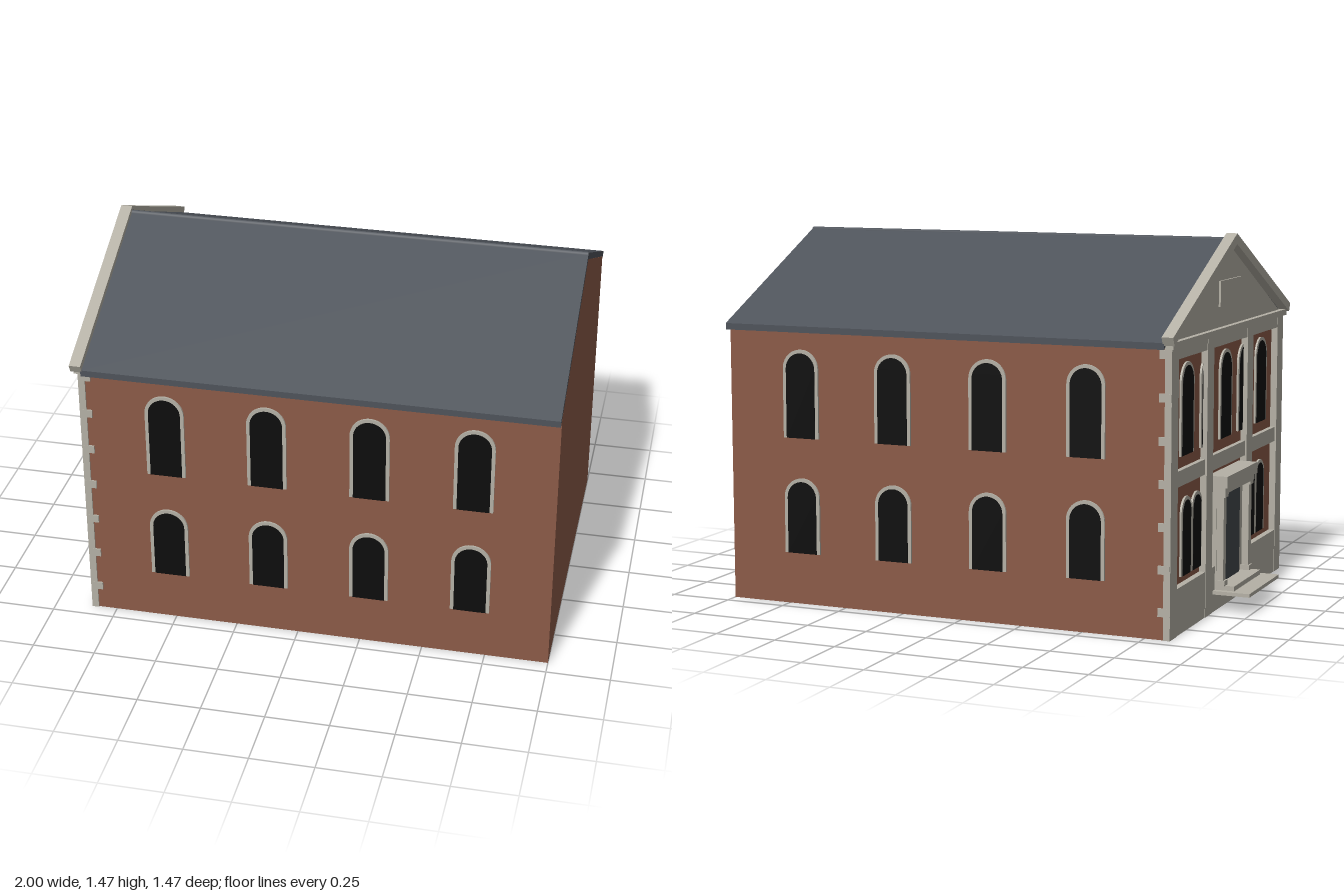
import * as THREE from 'three';

const mat = (name, color) => {
  const m = new THREE.MeshStandardMaterial({ color });
  m.name = name;
  return m;
};

export function createModel() {
  const brick = mat('brick', 0x8b5a47);
  const stone = mat('stone', 0xb4b0a5);
  const slate = mat('slate', 0x4e535a);
  const glass = mat('dark glass', 0x0d0d0d);
  const doorPaint = mat('door paint', 0x41474c);

  const model = new THREE.Group();
  model.name = 'hall';
  const add = (name, geometry, material, parent = model) => {
    const mesh = new THREE.Mesh(geometry, material);
    mesh.name = name;
    parent.add(mesh);
    return mesh;
  };
  // Box given by its minimum and maximum on each axis
  const box = (name, x0, x1, y0, y1, z0, z1, material = stone) =>
    add(name, new THREE.BoxGeometry(x1 - x0, y1 - y0, z1 - z0), material)
      .position.set((x0 + x1) / 2, (y0 + y1) / 2, (z0 + z1) / 2);
  // Outline drawn in (z, y) and extruded along x from x0 to x1
  const slab = (name, points, x0, x1, material) => {
    const shape = new THREE.Shape(points.map(([z, y]) => new THREE.Vector2(-z, y)));
    const g = new THREE.ExtrudeGeometry(shape, { depth: x1 - x0, bevelEnabled: false });
    g.rotateY(Math.PI / 2).translate(x0, 0, 0);
    return add(name, g, material);
  };
  const mirrored = (half) => [...half, ...half.slice().reverse()
    .filter(([z]) => z !== 0).map(([z, y]) => [-z, y])];

  // Brick body with gables
  slab('brickBody', [[-0.69, 0], [0.69, 0], [0.69, 1.1], [0, 1.42], [-0.69, 1.1]], -0.825, 1, brick);

  // Roof: folded slab and ridge roll
  slab('roof', [[-0.725, 1.085], [0, 1.42], [0.725, 1.085], [0.725, 1.11], [0, 1.447], [-0.725, 1.11]], -0.83, 1, slate);
  const ridge = add('ridgeRoll', new THREE.CylinderGeometry(0.013, 0.013, 1.83, 8), slate);
  ridge.rotation.z = Math.PI / 2;
  ridge.position.set(0.085, 1.438, 0);

  // Round-headed windows
  const arch = (Type, w, h) => {
    const s = new Type();
    s.moveTo(-w / 2, 0);
    s.lineTo(w / 2, 0);
    s.lineTo(w / 2, h - w / 2);
    s.absarc(0, h - w / 2, w / 2, 0, Math.PI, false);
    s.lineTo(-w / 2, 0);
    return s;
  };
  const archWindow = (w, h) => {
    const group = new THREE.Group();
    group.name = 'archedWindow';
    const t = 0.014;
    const frame = new THREE.Shape();
    frame.moveTo(-w / 2, 0);
    frame.lineTo(-w / 2 + t, 0);
    frame.lineTo(-w / 2 + t, h - w / 2);
    frame.absarc(0, h - w / 2, w / 2 - t, Math.PI, 0, true);
    frame.lineTo(w / 2 - t, 0);
    frame.lineTo(w / 2, 0);
    frame.lineTo(w / 2, h - w / 2);
    frame.absarc(0, h - w / 2, w / 2, 0, Math.PI, false);
    const extrude = (s, depth) =>
      new THREE.ExtrudeGeometry(s, { depth, bevelEnabled: false, curveSegments: 10 });
    add('windowFrame', extrude(frame, 0.008), stone, group);
    add('windowPane', extrude(arch(THREE.Shape, w - 2 * t, h - t), 0.0095), glass, group);
    model.add(group);
    return group;
  };
  const floors = [{ y: 0.205, h: 0.3 }, { y: 0.665, h: 0.35 }];
  for (const { y, h } of floors) {
    for (const x of [-0.515, -0.115, 0.285, 0.685]) {
      for (const side of [1, -1]) {
        const w = archWindow(0.154, h);
        w.position.set(x, y, side * 0.69);
        if (side < 0) w.rotation.y = Math.PI;
      }
    }
  }
  const facadeWindow = (z, y, w, h) => {
    const win = archWindow(w, h);
    win.position.set(-0.825, y, z);
    win.rotation.y = -Math.PI / 2;
  };
  for (const z of [-0.46, -0.23, 0, 0.23, 0.46]) facadeWindow(z, 0.665, 0.15, 0.35);
  for (const z of [-0.46, -0.34, 0.34, 0.46]) facadeWindow(z, 0.205, 0.12, 0.3);

  // Stone bands across the entrance facade
  box('facadePlinth', -0.85, -0.825, 0, 0.18, -0.69, 0.69);
  box('middleBand', -0.845, -0.825, 0.56, 0.62, -0.69, 0.69);
  box('entablature', -0.85, -0.825, 1.04, 1.1, -0.69, 0.69);
  box('pedimentShelf', -0.862, -0.825, 1.085, 1.11, -0.71, 0.71);

  // Pilasters and corner quoins
  for (const side of [1, -1]) {
    const pilaster = (name, z, w) =>
      box(name, -0.852, -0.825, 0, 1.09, side * z - w / 2, side * z + w / 2);
    pilaster('innerPilaster', 0.25, 0.075);
    pilaster('cornerPilaster', 0.658, 0.076);
    for (let i = 0; i < 7; i++) {
      const y = 0.105 + i * 0.16;
      box('quoin', -0.85, -0.803, y - 0.016, y + 0.016, side * 0.692 - 0.005, side * 0.692 + 0.005);
    }
  }

  // Pediment: tympanum, raking cornice and plaque
  slab('tympanum', [[-0.69, 1.1], [0.69, 1.1], [0, 1.42]], -0.84, -0.825, stone);
  slab('rakingCornice', [[-0.722, 1.1], [0, 1.425], [0.722, 1.1], [0.737, 1.132], [0, 1.467], [-0.737, 1.132]],
    -0.87, -0.825, stone);
  box('plaque', -0.848, -0.84, 1.19, 1.29, -0.13, 0.13);

  // Entrance: surround, door, canopy, columns and steps
  box('doorSurround', -0.855, -0.825, 0.08, 0.5, -0.17, 0.17);
  box('door', -0.861, -0.855, 0.105, 0.45, -0.105, 0.105, doorPaint);
  box('canopy', -0.905, -0.825, 0.495, 0.54, -0.195, 0.195);
  box('canopySoffit', -0.895, -0.825, 0.47, 0.495, -0.185, 0.185);
  for (const z of [-0.16, 0.16]) {
    box('column', -0.886, -0.858, 0.105, 0.47, z - 0.016, z + 0.016);
    box('columnBase', -0.893, -0.855, 0.105, 0.125, z - 0.021, z + 0.021);
    box('columnCapital', -0.893, -0.855, 0.455, 0.47, z - 0.021, z + 0.021);
  }
  box('upperStep', -0.93, -0.85, 0.086, 0.105, -0.17, 0.17);
  box('lowerStep', -1, -0.85, 0.072, 0.086, -0.195, 0.195);

  return model;
}
